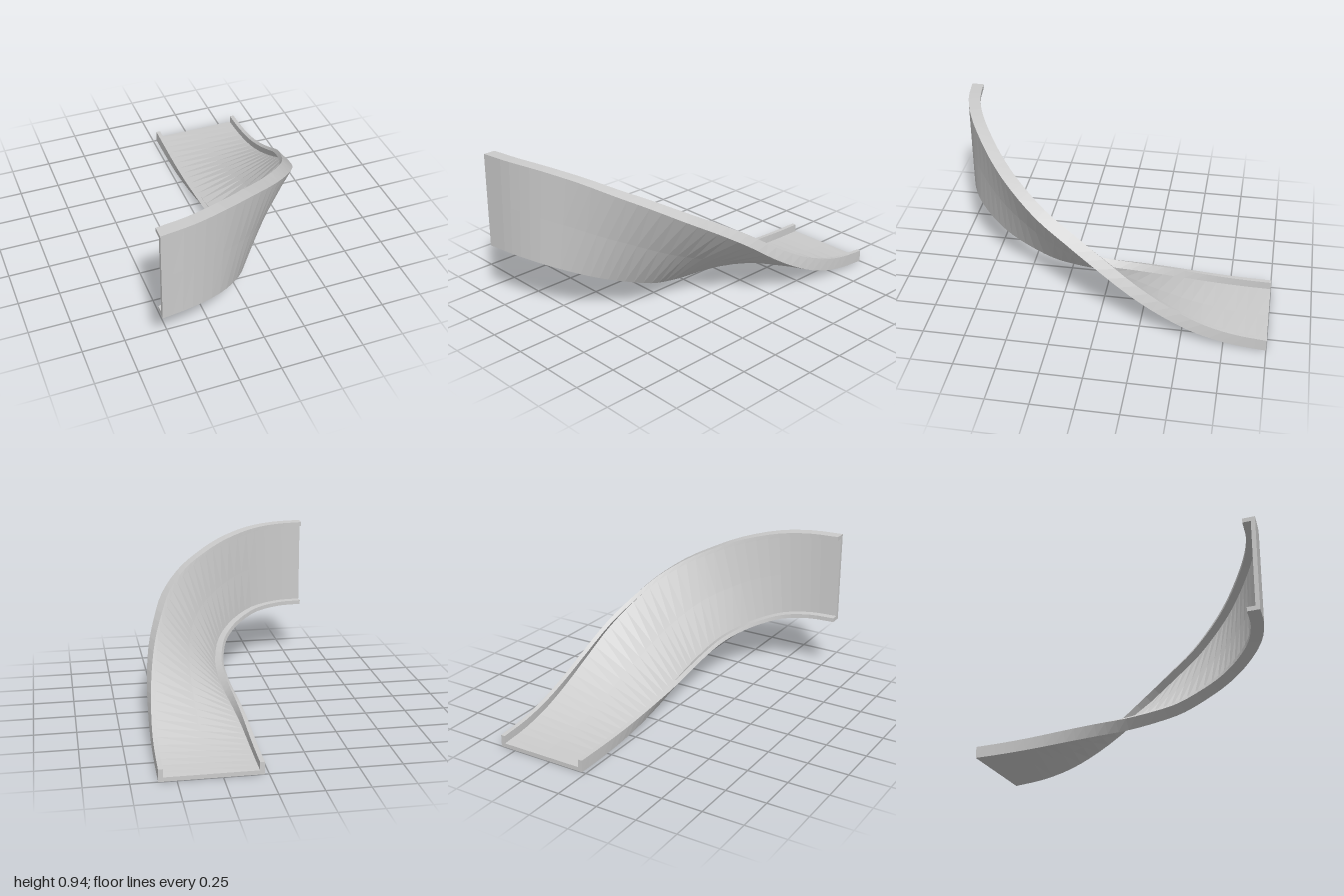
import * as THREE from 'three';

// Paired stations along the track: inner bottom edge (x, y, z), outer bottom edge (x, y, z)
const STATIONS = [
  [0.025, 0, -1, 0.6, 0, -1],
  [0.025, 0.002, -0.8, 0.6, 0.02, -0.8],
  [0.027, 0.01, -0.6, 0.599, 0.07, -0.6],
  [0.035, 0.025, -0.4, 0.592, 0.16, -0.4],
  [0.052, 0.043, -0.2, 0.577, 0.28, -0.2],
  [0.075, 0.063, 0, 0.545, 0.42, 0],
  [0.092, 0.097, 0.19, 0.49, 0.54, 0.19],
  [0.093, 0.135, 0.35, 0.42, 0.645, 0.37],
  [0.06, 0.2, 0.53, 0.3, 0.745, 0.54],
  [0, 0.25, 0.67, 0.165, 0.815, 0.67],
  [-0.1, 0.3, 0.8, 0, 0.88, 0.79],
  [-0.24, 0.342, 0.91, -0.2, 0.925, 0.9],
  [-0.42, 0.36, 0.975, -0.4, 0.94, 0.97],
  [-0.6, 0.36, 1, -0.6, 0.94, 1],
];
const STEPS = (STATIONS.length - 1) * 3;
const LIP_HEIGHT = 0.073, LIP_WIDTH = 0.026, FLOOR = 0.025;

// U-shaped section, counter-clockwise: [share of width, inset, height]
const SECTION = [
  [0, 0, 0], [0.5, 0, 0], [1, 0, 0],
  [1, 0, LIP_HEIGHT], [1, -LIP_WIDTH, LIP_HEIGHT], [1, -LIP_WIDTH, FLOOR],
  [0.5, 0, FLOOR],
  [0, LIP_WIDTH, FLOOR], [0, LIP_WIDTH, LIP_HEIGHT], [0, 0, LIP_HEIGHT],
];

function rail(offset) {
  const points = STATIONS.map((s) => new THREE.Vector3(...s.slice(offset, offset + 3)));
  return new THREE.CatmullRomCurve3(points, false, 'catmullrom', 0.5);
}

function trackGeometry() {
  const inner = rail(0), outer = rail(3);
  const positions = [], indices = [];
  const n = SECTION.length;

  // One banked section per step, its up direction square to the floor
  for (let i = 0; i <= STEPS; i++) {
    const t = i / STEPS;
    const a = inner.getPoint(t), b = outer.getPoint(t);
    const across = b.clone().sub(a).normalize();
    for (const [share, inset, height] of SECTION) {
      const along = inner.getTangent(t).lerp(outer.getTangent(t), share);
      if (i === 0) along.set(0, 0, 1);
      if (i === STEPS) along.set(-1, 0, 0);
      const up = along.cross(across).normalize();
      const p = a.clone().lerp(b, share).addScaledVector(across, inset).addScaledVector(up, height);
      positions.push(p.x, Math.max(0, p.y), p.z);
    }
  }

  // Skin between neighbouring sections
  for (let i = 0; i < STEPS; i++) {
    for (let j = 0; j < n; j++) {
      const k = (j + 1) % n;
      const p = i * n + j, q = i * n + k;
      indices.push(p, q, p + n, q, q + n, p + n);
    }
  }

  // End caps
  const outline = SECTION.map(([s, inset, h]) => new THREE.Vector2(s * 0.577 + inset, h));
  for (const [a, b, c] of THREE.ShapeUtils.triangulateShape(outline, [])) {
    const end = STEPS * n;
    indices.push(a, c, b, end + a, end + b, end + c);
  }

  const geometry = new THREE.BufferGeometry();
  geometry.setAttribute('position', new THREE.Float32BufferAttribute(positions, 3));
  geometry.setIndex(indices);
  const flat = geometry.toNonIndexed();
  flat.computeVertexNormals();
  return flat;
}

export function createModel() {
  const group = new THREE.Group();
  group.name = 'bankedTrackCurve';
  const material = new THREE.MeshStandardMaterial({ color: 0xcccccc, flatShading: true });
  const track = new THREE.Mesh(trackGeometry(), material);
  track.name = 'trackWithSideLips';
  group.add(track);
  return group;
}
